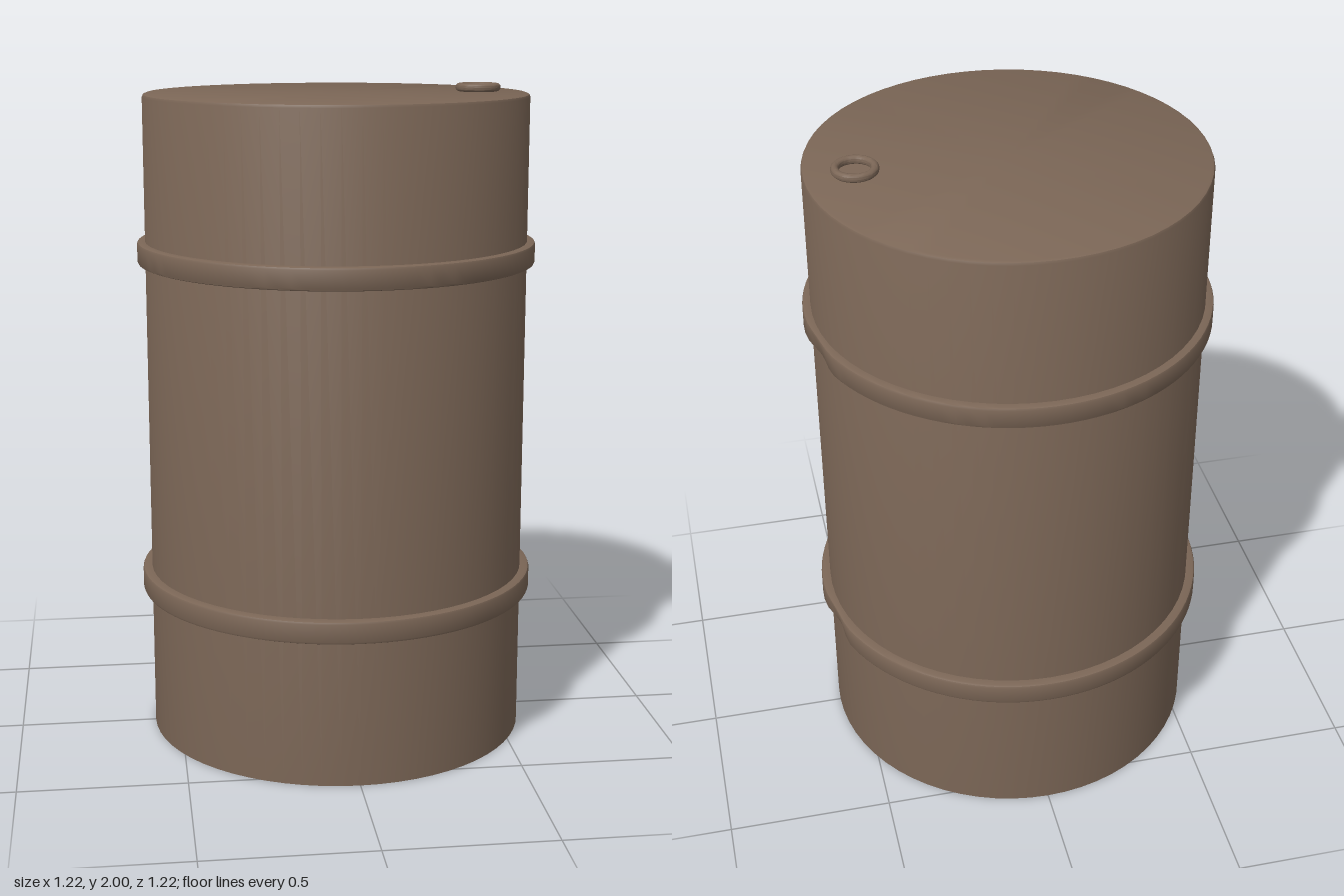
import * as THREE from 'three';
import { toCreasedNormals } from 'three/addons/utils/BufferGeometryUtils.js';

const rust = new THREE.MeshStandardMaterial({ color: 0x7b6656 });
rust.name = 'rusty brown';

function turned(points, segments) {
  const profile = points.map(([r, y]) => new THREE.Vector2(r, y));
  return new THREE.LatheGeometry(profile, segments);
}

function addPart(group, name, geometry, crease = 0.6) {
  const mesh = new THREE.Mesh(toCreasedNormals(geometry, crease), rust);
  mesh.name = name;
  group.add(mesh);
  return mesh;
}

// Presses a small dent into the side of a hoop, deepest along its lower edge
function dent(geometry, midY, bodyRadius) {
  const p = geometry.attributes.position;
  for (let i = 0; i < p.count; i++) {
    const x = p.getX(i), z = p.getZ(i), r = Math.hypot(x, z);
    if (r <= bodyRadius) continue;
    const offset = Math.abs(Math.atan2(z, x) + 0.21) / 0.2;
    if (offset >= 1) continue;
    const falloff = 0.5 + 0.5 * Math.cos(Math.PI * offset);
    const depth = (p.getY(i) < midY ? 0.85 : 0.3) * falloff;
    const k = (r - (r - bodyRadius) * depth) / r;
    p.setX(i, x * k);
    p.setZ(i, z * k);
  }
}

// Raised hoop with small rounded edges
function hoop(bottom, top, radius) {
  const b = 0.008;
  const geometry = turned([
    [0.575, bottom],
    [radius - b, bottom], [radius - b * 0.3, bottom + b * 0.3], [radius, bottom + b],
    [radius, top - b], [radius - b * 0.3, top - b * 0.3], [radius - b, top],
    [0.575, top],
  ], 96);
  dent(geometry, (bottom + top) / 2, 0.581);
  return geometry;
}

export function createModel() {
  const barrel = new THREE.Group();
  barrel.name = 'barrel';

  // Drum wall with closed base and bevelled lid
  addPart(barrel, 'drum', turned([
    [0, 0], [0.58, 0], [0.58, 1.965], [0.577, 1.972], [0.57, 1.975], [0, 1.975],
  ], 64));

  // Two reinforcing hoops
  addPart(barrel, 'lowerHoop', hoop(0.446, 0.515, 0.608));
  addPart(barrel, 'upperHoop', hoop(1.468, 1.535, 0.604));

  // Filler ring near the lid's edge
  const ring = addPart(barrel, 'fillerRing', new THREE.TorusGeometry(0.056, 0.0125, 12, 40), 1);
  ring.rotation.x = -Math.PI / 2;
  ring.position.set(0.433, 1.9875, 0);

  return barrel;
}
